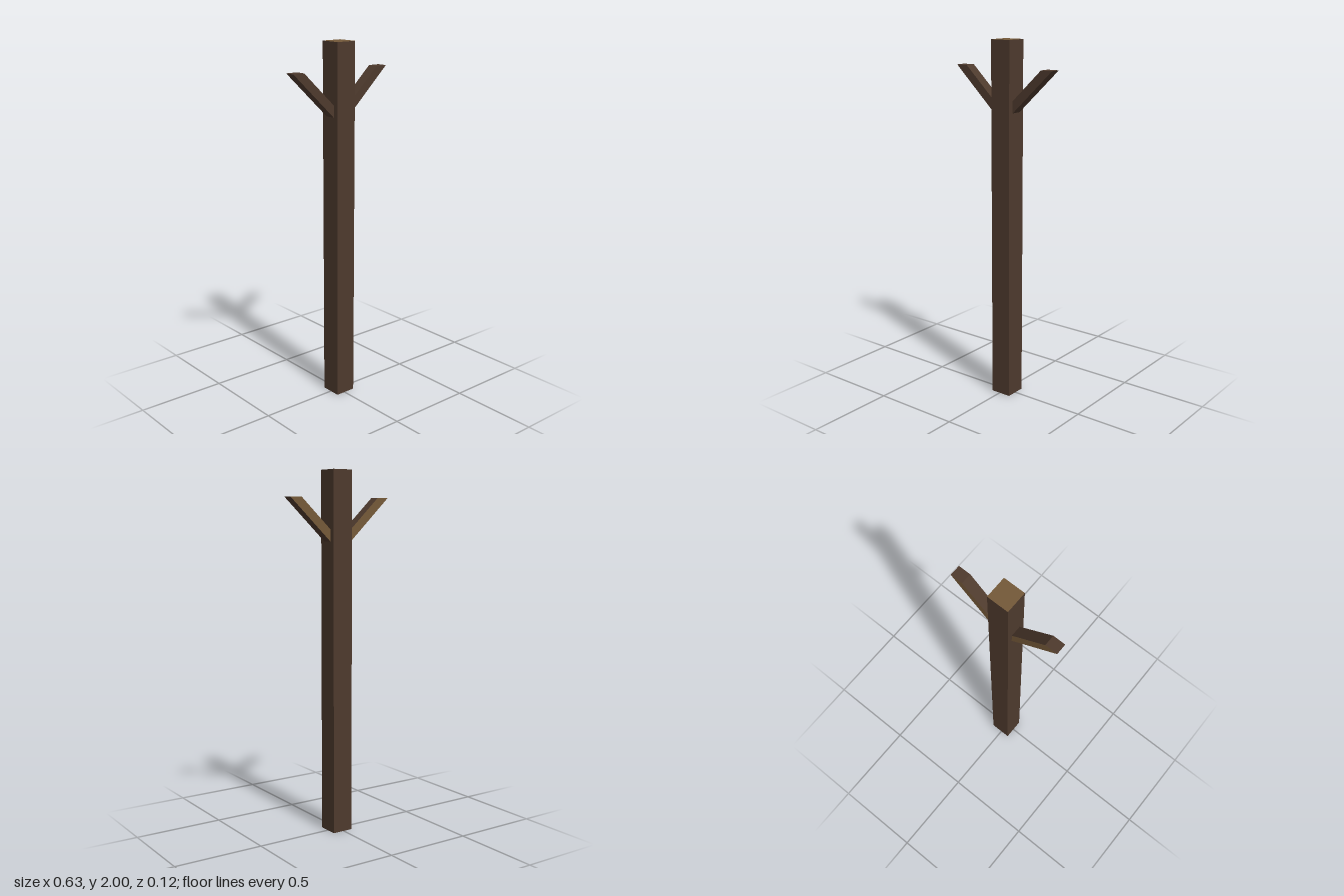
import * as THREE from 'three';

export function createModel() {
  const model = new THREE.Group();
  const bark = new THREE.MeshStandardMaterial({ color: 0x4e3a2d });
  bark.name = 'dark bark';
  const wood = new THREE.MeshStandardMaterial({ color: 0x745939 });
  wood.name = 'cut wood';

  // Square trunk with a pale cut top; face order: +x, -x, +y, -y, +z, -z
  const trunk = new THREE.Mesh(
    new THREE.BoxGeometry(0.12, 2, 0.12),
    [bark, bark, wood, bark, bark, bark]
  );
  trunk.name = 'trunk';
  trunk.position.set(0.007, 1, 0);
  model.add(trunk);

  // Slanted branches: boxes sheared outwards, level at the tip, pale on the back
  const bottom = 1.605, top = 1.854, slope = 1.06, tipX = 0.281;
  const height = top - bottom;
  for (const side of [1, -1]) {
    const geometry = new THREE.BoxGeometry(0.069, height, 0.06);
    const shear = new THREE.Matrix4().set(
      1, side * slope, 0, 0,
      0, 1, 0, 0,
      0, 0, 1, 0,
      0, 0, 0, 1
    );
    geometry.applyMatrix4(shear);
    const branch = new THREE.Mesh(geometry, [bark, bark, bark, bark, bark, wood]);
    branch.name = side > 0 ? 'leftBranch' : 'rightBranch';
    branch.position.set(side * (tipX - slope * height / 2), (top + bottom) / 2, 0);
    model.add(branch);
  }
  return model;
}
